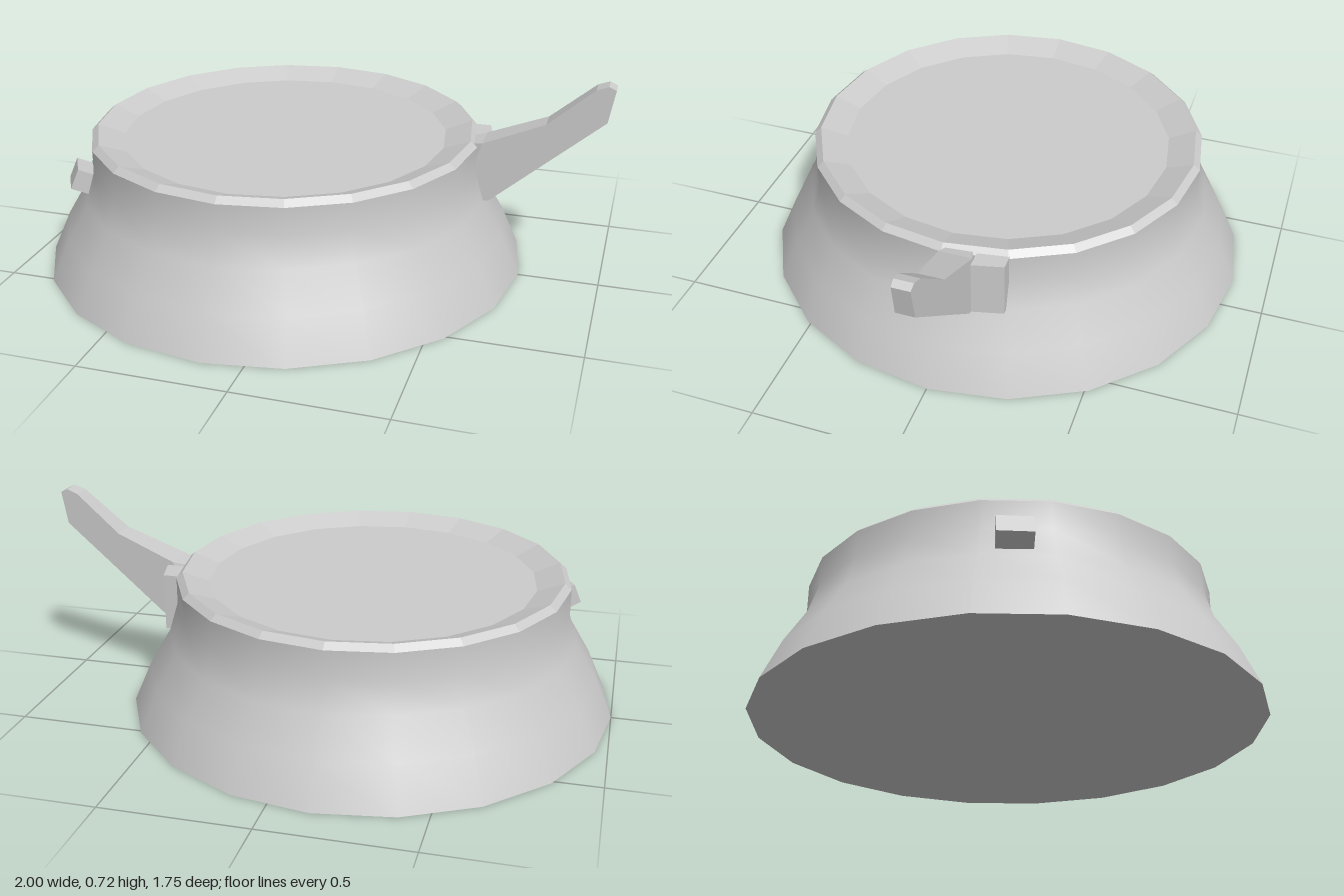
import * as THREE from 'three';

const SIDES = 20;
const smooth = new THREE.MeshStandardMaterial({ color: 0xcccccc });
const flat = new THREE.MeshStandardMaterial({ color: 0xcccccc, flatShading: true });

function addMesh(parent, name, geometry, material) {
  const mesh = new THREE.Mesh(geometry, material);
  mesh.name = name;
  parent.add(mesh);
  return mesh;
}

// Prism with its outline in the xy plane, centred on z = 0
function prism(points, depth) {
  const shape = new THREE.Shape(points.map(([x, y]) => new THREE.Vector2(x, y)));
  return new THREE.ExtrudeGeometry(shape, { depth, bevelEnabled: false }).translate(0, 0, -depth / 2);
}

export function createModel() {
  const model = new THREE.Group();
  model.name = 'bowl';

  // Turned body: one lathe per band so the edges between them stay sharp
  const body = new THREE.Group();
  body.name = 'body';
  body.position.x = -0.14;
  body.scale.x = 0.985;
  model.add(body);
  const bands = {
    base: [[0, 0], [0.873, 0]],
    wall: [[0.873, 0], [0.81, 0.14], [0.735, 0.265], [0.703, 0.37], [0.703, 0.465]],
    rimChamfer: [[0.703, 0.465], [0.68, 0.485]],
    innerSlope: [[0.68, 0.485], [0.585, 0.45]],
    floor: [[0.585, 0.45], [0, 0.45]],
  };
  for (const [name, profile] of Object.entries(bands)) {
    const points = profile.map(([r, y]) => new THREE.Vector2(r, y));
    addMesh(body, name, new THREE.LatheGeometry(points, SIDES), name === 'wall' ? smooth : flat);
  }

  // Handle: side outline, narrowing towards the tip
  const handle = prism([
    [0.44, 0.45], [0.5, 0.27], [0.6, 0.27], [0.98, 0.59], [1, 0.705],
    [0.975, 0.717], [0.935, 0.702], [0.78, 0.568], [0.57, 0.482],
  ], 1);
  const p = handle.attributes.position;
  for (let i = 0; i < p.count; i++) {
    const x = p.getX(i);
    const width = x < 0.5 ? 0.03 : THREE.MathUtils.mapLinear(x, 0.56, 1, 0.116, 0.06);
    p.setZ(i, p.getZ(i) * width - 0.058);
  }
  addMesh(model, 'handle', handle, flat);

  // Small wedge joining the back of the handle to the wall
  const wedge = prism([[0.5, 0.115], [0.59, 0.115], [0.565, 0.22], [0.5, 0.22]], 0.2);
  wedge.rotateX(-Math.PI / 2).translate(0, 0.37, 0);
  addMesh(model, 'handleWedge', wedge, flat);

  // Little block set on the wall, leaning with its slope
  const knob = addMesh(model, 'knob', new THREE.BoxGeometry(0.07, 0.075, 0.115), flat);
  knob.position.set(-0.787, 0.33, 0.328);
  knob.rotation.set(0, Math.PI + 0.5, 0.4, 'YXZ');

  return model;
}
